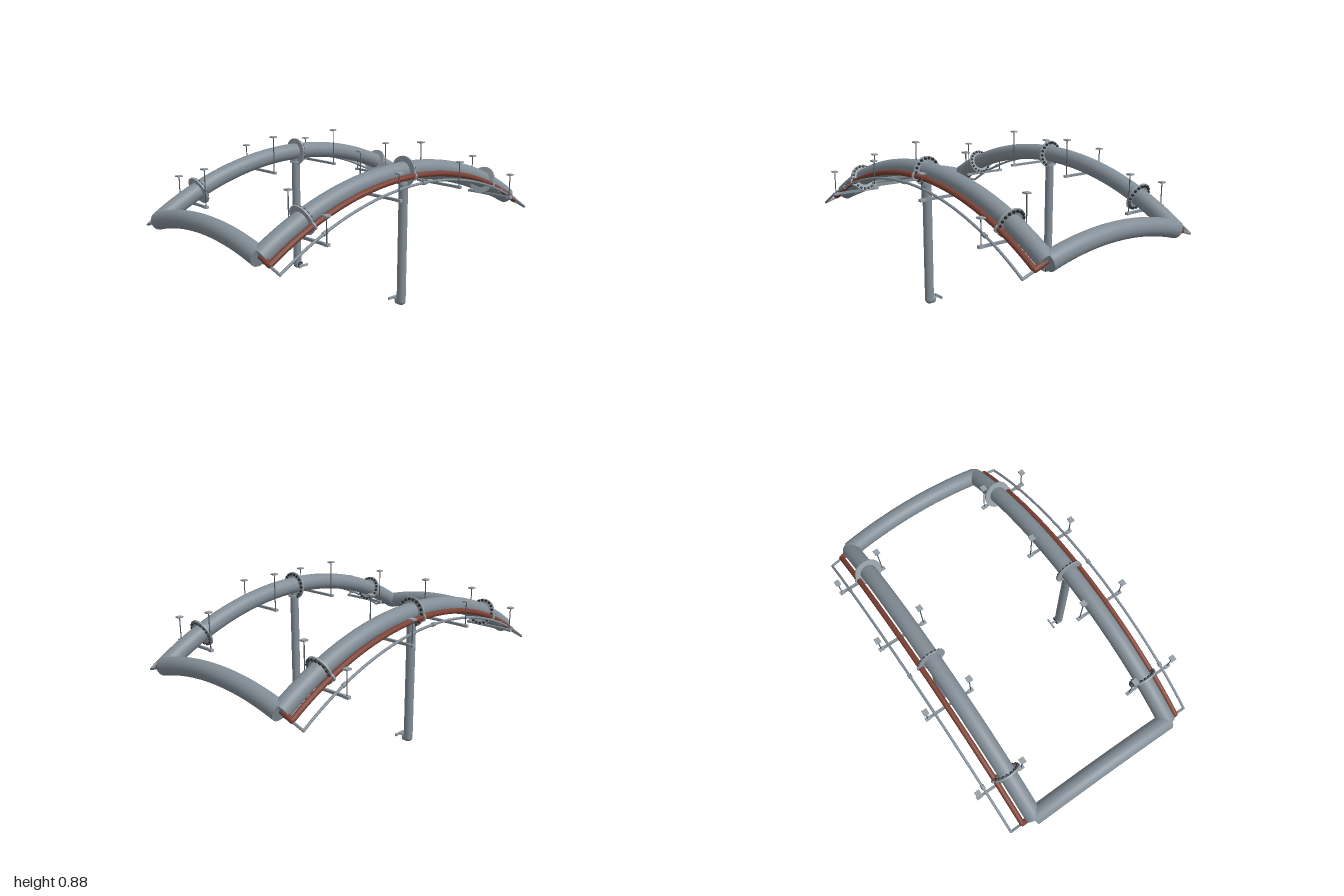
import * as THREE from 'three';

const mat = (name, color, side = THREE.FrontSide) => {
  const m = new THREE.MeshStandardMaterial({ color, side });
  m.name = name;
  return m;
};

// Circular arc in the plane of one horizontal axis and y, symmetric about the middle
class ArcCurve extends THREE.Curve {
  constructor(axis, radius, centreY, half, offset) {
    super();
    Object.assign(this, { axis, radius, centreY, offset, angle: Math.asin(half / radius) });
  }
  at(a) {
    const u = this.radius * Math.sin(a), y = this.centreY + this.radius * Math.cos(a);
    return this.axis === 'x' ? new THREE.Vector3(u, y, this.offset) : new THREE.Vector3(this.offset, y, u);
  }
  getPoint(t, target = new THREE.Vector3()) {
    return target.copy(this.at((2 * t - 1) * this.angle));
  }
}

export function createModel() {
  const model = new THREE.Group();
  model.name = 'pipeFrame';
  const steel = mat('steel grey', 0x828d96);
  const light = mat('light grey', 0x949ea6);
  const rodGrey = mat('rod grey', 0x565c62);
  const dark = mat('dark bolts', 0x2b2e31);
  const rust = mat('rust brown', 0x7c4033);
  const V = (x, y, z) => new THREE.Vector3(x, y, z);

  const add = (parent, name, geometry, material, x = 0, y = 0, z = 0) => {
    const m = new THREE.Mesh(geometry, material);
    m.name = name;
    m.position.set(x, y, z);
    parent.add(m);
    return m;
  };

  // Tube with closed ends
  const pipe = (parent, name, curve, r, material, segments = 48, sides = 24) => {
    add(parent, name, new THREE.TubeGeometry(curve, segments, r, sides), material);
    for (const t of [0, 1]) {
      const p = curve.getPoint(t);
      const cap = add(parent, name + 'End', new THREE.CircleGeometry(r, sides), material, p.x, p.y, p.z);
      cap.lookAt(p.clone().addScaledVector(curve.getTangent(t), t ? 1 : -1));
    }
  };

  const CY = -1.023, R = 1.778;
  // Disc or sleeve square to the side arc
  const collar = (parent, name, radius, arcR, x, z, r, len, material) => {
    const a = Math.asin(z / R);
    const g = new THREE.Group();
    g.name = name;
    g.position.set(x, CY + arcR * Math.cos(a), arcR * Math.sin(a));
    g.rotation.x = a;
    parent.add(g);
    add(g, name + 'Disc', new THREE.CylinderGeometry(r, r, len, 32).rotateX(Math.PI / 2), material);
    return g;
  };

  // Arched end pipes
  for (const s of [-1, 1]) {
    pipe(model, 'endPipe', new ArcCurve('x', 1.567, 0.546 - 1.567, 0.45, 0.95 * s), 0.049, steel, 32, 32);
  }

  for (const s of [-1, 1]) {
    const side = new THREE.Group();
    side.name = s > 0 ? 'leftSide' : 'rightSide';
    model.add(side);
    const X = 0.45 * s;

    // Main arched pipe, brown line and thin outer line
    pipe(side, 'sidePipe', new ArcCurve('z', R, CY, 0.95, X), 0.048, steel, 64, 32);
    const lines = [
      ['brownPipe', 1.757, 0.52, 0.015, rust, 0.44, 0.488],
      ['outerPipe', 1.733, 0.592, 0.007, steel, 0.5, 0.46],
    ];
    for (const [name, r, x, tube, material, inX, inY] of lines) {
      const arc = new ArcCurve('z', r, CY, 0.945, x * s);
      pipe(side, name, arc, tube, material, 64, 12);
      for (const t of [0, 1]) {
        const p = arc.getPoint(t);
        pipe(side, name + 'Branch', new THREE.LineCurve3(p, V(inX * s, inY, p.z)), tube, material, 1, 12);
        add(side, name + 'Corner', new THREE.SphereGeometry(tube, 12, 8), material, p.x, p.y, p.z);
      }
    }

    // Bolted flanges and the collars of the two smaller lines
    for (const z of [-0.7, 0, 0.7]) {
      const flange = collar(side, 'flange', R, R - 0.003, X, z, 0.081, 0.009, light);
      for (let i = 0; i < 18; i++) {
        const a = i / 18 * Math.PI * 2;
        add(flange, 'bolt', new THREE.CylinderGeometry(0.008, 0.008, 0.009, 6).rotateX(Math.PI / 2), dark,
          0.07 * Math.cos(a), 0.07 * Math.sin(a), -0.008);
      }
      collar(side, 'brownPipeCollar', R, 1.757, 0.52 * s, z, 0.023, 0.009, light);
      collar(side, 'outerPipeJoint', R, 1.733, 0.592 * s, z, 0.011, 0.022, steel);
    }

    // Cross bars with capped upright rods
    for (const [z, y] of [[-0.71, 0.53], [-0.235, 0.66], [0.235, 0.66], [0.71, 0.53]]) {
      add(side, 'crossBar', new THREE.BoxGeometry(0.29, 0.013, 0.014), steel, 0.5 * s, y, z);
      for (const [x, h] of [[0.635, 0.135], [0.363, 0.212]]) {
        add(side, 'uprightRod', new THREE.CylinderGeometry(0.003, 0.003, h, 8), rodGrey, x * s, y + h / 2, z);
        add(side, 'rodCap', new THREE.BoxGeometry(0.03, 0.008, 0.032), light, x * s, y + h, z);
        add(side, 'rodFoot', new THREE.BoxGeometry(0.03, 0.014, 0.02), light, x * s, y, z);
      }
    }

    // Standing pipe with elbow, top collar and small lever
    const legTop = 0.725, bend = 0.03;
    add(side, 'leg', new THREE.CylinderGeometry(0.025, 0.025, legTop - bend, 24), steel, X, (legTop + bend) / 2, 0);
    add(side, 'legElbow', new THREE.SphereGeometry(0.025, 24, 16), steel, X, 0.026, 0);
    add(side, 'legOutlet', new THREE.CylinderGeometry(0.025, 0.025, 0.026, 24).rotateZ(Math.PI / 2), steel,
      X - 0.013 * s, 0.026, 0);
    add(side, 'legOpening', new THREE.CylinderGeometry(0.019, 0.019, 0.002, 24).rotateZ(Math.PI / 2), dark,
      X - 0.026 * s, 0.026, 0);
    add(side, 'legCollar', new THREE.CylinderGeometry(0.036, 0.036, 0.01, 24), light, X, 0.69, 0);
    add(side, 'lever', new THREE.BoxGeometry(0.06, 0.008, 0.01), light, 0.415 * s, 0.029, 0);
    add(side, 'leverHandle', new THREE.BoxGeometry(0.008, 0.014, 0.07), light, 0.389 * s, 0.029, 0);
  }
  return model;
}
